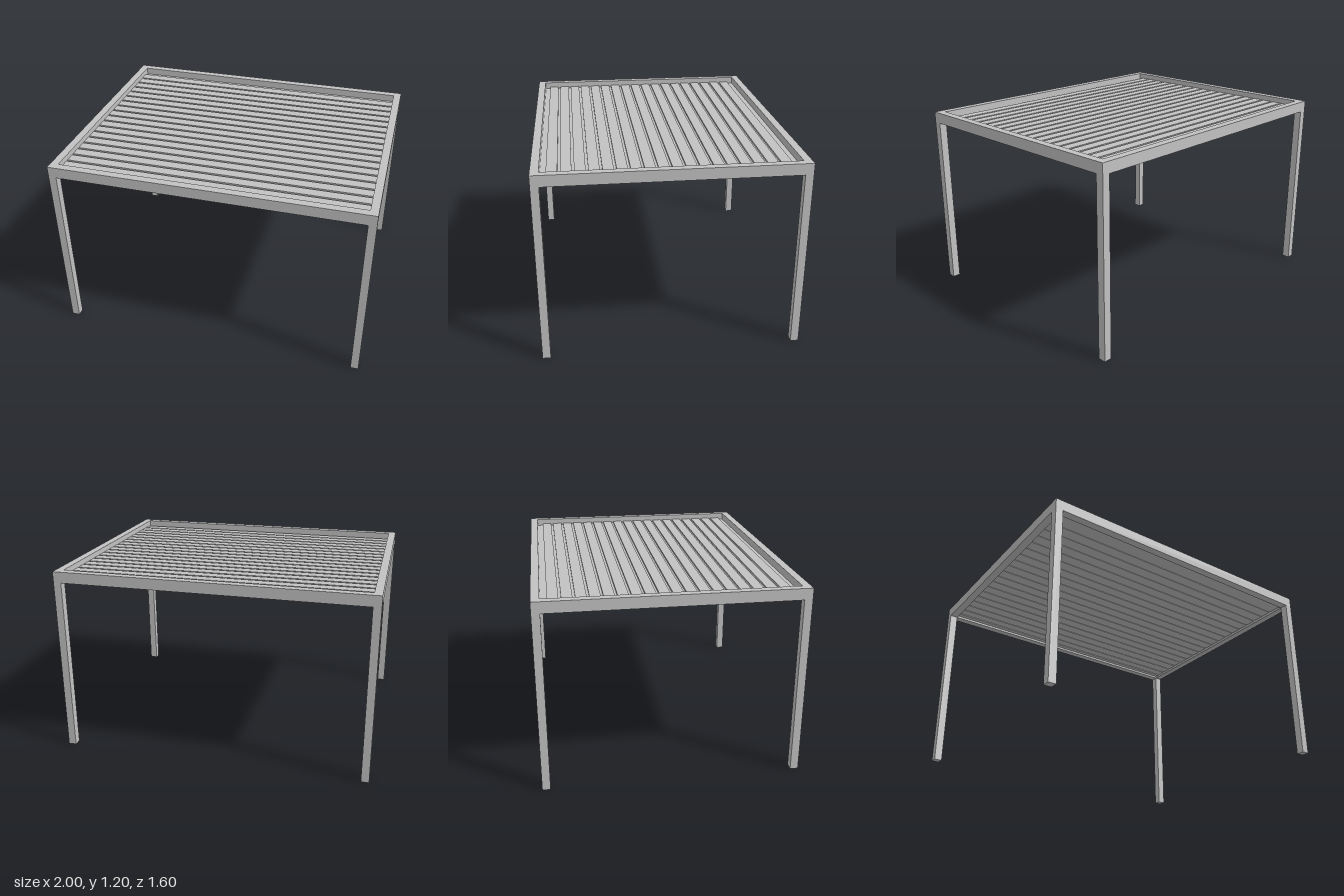
import * as THREE from 'three';

export function createModel() {
  const model = new THREE.Group();
  const aluminium = new THREE.MeshStandardMaterial({ color: 0xc2c2c2 });
  aluminium.name = 'aluminium grey';

  const W = 2, D = 1.6, H = 1.2;      // overall size
  const T = 0.05, BEAM = 0.07;        // profile width and beam height

  function box(name, w, h, d, x, y, z) {
    const mesh = new THREE.Mesh(new THREE.BoxGeometry(w, h, d), aluminium);
    mesh.name = name;
    mesh.position.set(x, y, z);
    model.add(mesh);
  }

  // Four corner posts
  for (const sx of [-1, 1]) {
    for (const sz of [-1, 1]) {
      box((sz > 0 ? 'front' : 'back') + (sx > 0 ? 'Left' : 'Right') + 'Post',
        T, H - BEAM, T, sx * (W - T) / 2, (H - BEAM) / 2, sz * (D - T) / 2);
    }
  }

  // Roof frame, with a gutter ledge inside the front and back beams
  for (const s of [-1, 1]) {
    box(s > 0 ? 'frontBeam' : 'backBeam', W, BEAM, T, 0, H - BEAM / 2, s * (D - T) / 2);
    box(s > 0 ? 'leftBeam' : 'rightBeam', T, BEAM, D - 2 * T, s * (W - T) / 2, H - BEAM / 2, 0);
    box(s > 0 ? 'frontGutter' : 'backGutter', W - 2 * T, 0.008, 0.035, 0, 1.149, s * 0.7325);
  }

  // Louvre profile: flat blade with a low drip channel along its back edge
  const profile = new THREE.Shape([
    [-0.005, 0.003], [0.01, 0.003], [0.01, 0], [0.075, 0],
    [0.075, 0.018], [0.01, 0.018], [0.01, 0.007], [-0.005, 0.007],
  ].map(([z, y]) => new THREE.Vector2(z, y)));
  const length = W - 2 * T;
  const slatGeometry = new THREE.ExtrudeGeometry(profile, { depth: length, bevelEnabled: false });
  slatGeometry.rotateY(-Math.PI / 2).translate(length / 2, 0, 0);

  const louvres = new THREE.Group();
  louvres.name = 'louvredRoof';
  for (let i = -9; i < 9; i++) {
    const slat = new THREE.Mesh(slatGeometry, aluminium);
    slat.name = 'louvre';
    slat.position.set(0, 1.147, i * 0.08);
    louvres.add(slat);
  }
  model.add(louvres);

  return model;
}
